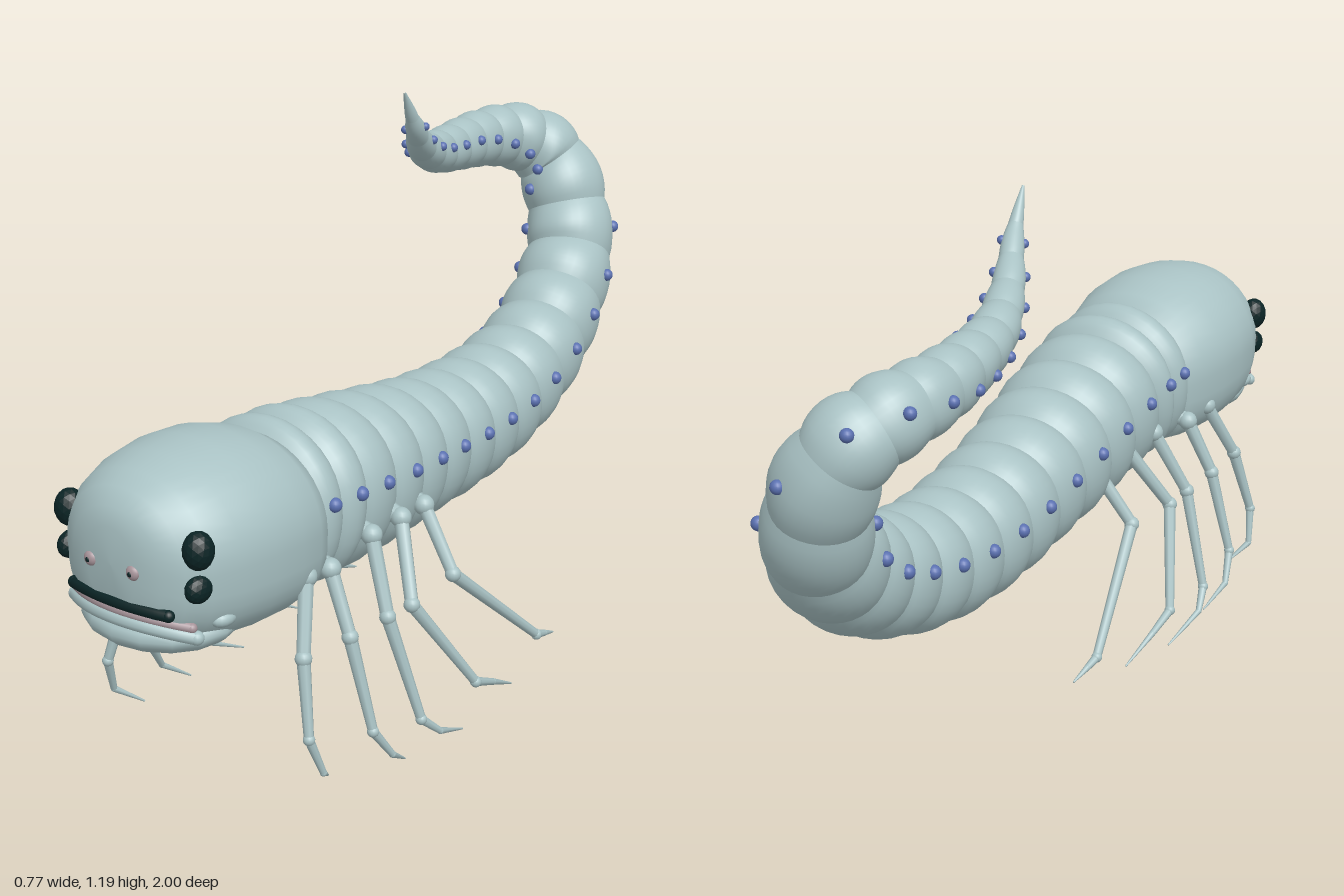
import * as THREE from 'three';

const mat = (name, color) => {
  const m = new THREE.MeshStandardMaterial({ color });
  m.name = name;
  return m;
};
const shell = mat('grey green shell', 0xa9c2c4);
const blue = mat('blue spots', 0x5a70b0);
const dark = mat('dark eyes and lip', 0x0b2425);
const pink = mat('dusty pink', 0xa8959b);

const V = (x, y, z) => new THREE.Vector3(x, y, z);
const MID = 0.055; // head symmetry line

function add(parent, name, geometry, material) {
  const mesh = new THREE.Mesh(geometry, material);
  mesh.name = name;
  parent.add(mesh);
  return mesh;
}

function ball(parent, name, material, p, sx, sy = sx, sz = sx) {
  const mesh = add(parent, name, new THREE.SphereGeometry(1, 16, 12), material);
  mesh.position.copy(p);
  mesh.scale.set(sx, sy, sz);
}

// Tapered rod between two points
function rod(parent, name, a, b, ra, rb) {
  const d = b.clone().sub(a);
  const mesh = add(parent, name, new THREE.CylinderGeometry(rb, ra, d.length(), 8), shell);
  mesh.position.copy(a).addScaledVector(d, 0.5);
  mesh.quaternion.setFromUnitVectors(V(0, 1, 0), d.normalize());
}

// Skin through closed rings, listed from front to back
function loft(rings) {
  const n = rings[0].length, pos = [], idx = [];
  rings.forEach(ring => ring.forEach(p => pos.push(p.x, p.y, p.z)));
  for (let i = 0; i < rings.length - 1; i++) {
    for (let j = 0; j < n; j++) {
      const k = (j + 1) % n, a = i * n, b = a + n;
      idx.push(a + j, b + j, a + k, b + j, b + k, a + k);
    }
  }
  const g = new THREE.BufferGeometry();
  g.setAttribute('position', new THREE.Float32BufferAttribute(pos, 3));
  g.setIndex(idx);
  g.computeVertexNormals();
  return g;
}

// Body centre line: x, y, z, radius
const PATH = [
  [0.055, 0.53, 0.595, 0.18], [0.05, 0.52, 0.48, 0.182], [0.025, 0.485, 0.25, 0.17],
  [-0.01, 0.45, 0, 0.152], [-0.035, 0.432, -0.2, 0.145], [-0.058, 0.44, -0.4, 0.136],
  [-0.078, 0.485, -0.58, 0.126], [-0.108, 0.57, -0.74, 0.118], [-0.145, 0.68, -0.85, 0.11],
  [-0.195, 0.81, -0.89, 0.102], [-0.243, 0.893, -0.88, 0.091], [-0.285, 0.938, -0.81, 0.082],
  [-0.302, 0.955, -0.71, 0.071], [-0.29, 0.966, -0.58, 0.061], [-0.257, 0.983, -0.44, 0.05],
  [-0.208, 1.028, -0.32, 0.036], [-0.162, 1.1, -0.23, 0.022], [-0.145, 1.19, -0.17, 0.003],
];

function buildBody(root) {
  const body = new THREE.Group();
  body.name = 'segmentedBody';
  root.add(body);
  const curve = new THREE.CatmullRomCurve3(PATH.map(p => V(p[0], p[1], p[2])));
  const lengths = Array.from({ length: 26 }, (_, i) => (i < 2 ? 0.08 : i < 15 ? 0.125 : 0.08));
  const total = lengths.reduce((a, b) => a + b);
  const side = V(1, 0, 0);

  // Ring frame; the side vector is carried along without twisting
  const frameAt = u => {
    const t = curve.getUtoTmapping(Math.min(u, 1));
    const f = t * (PATH.length - 1), i = Math.min(Math.floor(f), PATH.length - 2);
    const tangent = curve.getTangent(t);
    side.addScaledVector(tangent, -side.dot(tangent)).normalize();
    return {
      c: curve.getPoint(t), r: THREE.MathUtils.lerp(PATH[i][3], PATH[i + 1][3], f - i),
      s: side.clone(), up: side.clone().cross(tangent).normalize(),
    };
  };
  const point = (f, angle, k) => f.c.clone()
    .addScaledVector(f.s, Math.cos(angle) * f.r * k)
    .addScaledVector(f.up, Math.sin(angle) * f.r * k);

  const STEPS = 8, N = 36;
  let start = 0;
  lengths.forEach((len, i) => {
    const rings = [];
    for (let s = 0; s <= STEPS; s++) {
      const u = (start + len * s / STEPS) / total, f = frameAt(u);
      const dip = 1 - Math.pow(Math.sin(Math.PI * s / STEPS), 0.8);
      // The spot rows roll half way round the body through the curl
      const roll = -2.42 * THREE.MathUtils.smoothstep(u, 0.53, 0.82);
      rings.push(Array.from({ length: N }, (_, j) => {
        const a = j / N * Math.PI * 2, b = a - roll;
        const depth = 0.08 + 0.06 * Math.max(Math.sin(b), 0);
        return point(f, a, 1.02 - depth * dip - 0.04 * Math.pow(Math.abs(Math.cos(b)), 10));
      }));
      // A blue spot on each side of the ring
      if (s === STEPS / 2 && i < 25) {
        const lift = 0.23 * (1 - THREE.MathUtils.smoothstep(u, 0.4, 0.75));
        const size = Math.min(0.008 + 0.06 * f.r, 0.015);
        for (const a of [lift, Math.PI - lift]) ball(body, 'sideSpot', blue, point(f, a + roll, 0.985), size);
      }
    }
    add(body, 'bodySegment', loft(rings), shell);
    start += len;
  });
}

function buildHead(root) {
  const head = new THREE.Group();
  head.name = 'head';
  root.add(head);
  // z, half width, top, bottom
  const sections = [
    [0.99, 0, 0.56, 0.56], [0.988, 0.06, 0.635, 0.48], [0.975, 0.11, 0.67, 0.44],
    [0.95, 0.15, 0.70, 0.41], [0.91, 0.18, 0.72, 0.39], [0.85, 0.202, 0.736, 0.375],
    [0.77, 0.214, 0.743, 0.365], [0.69, 0.213, 0.736, 0.36], [0.62, 0.198, 0.714, 0.36],
    [0.58, 0.18, 0.69, 0.365], [0.565, 0.15, 0.65, 0.4],
  ];
  add(head, 'skull', loft(sections.map(([z, w, top, bottom]) => Array.from({ length: 40 }, (_, j) => {
    const a = j / 40 * Math.PI * 2, e = j <= 20 ? 0.97 : 0.72; // round dome, squarer cheeks
    const c = Math.cos(a), s = Math.sin(a);
    return V(MID + w * Math.sign(c) * Math.pow(Math.abs(c), e),
      (top + bottom) / 2 + (top - bottom) / 2 * Math.sign(s) * Math.pow(Math.abs(s), e), z);
  }))), shell);

  // Lower jaw and lips
  ball(head, 'lowerJaw', shell, V(MID, 0.418, 0.86), 0.165, 0.055, 0.138);
  const lip = (name, material, half, y, z, drop, r, curl) => {
    const pts = [-1, -0.75, -0.4, 0, 0.4, 0.75, 1].map(k => V(MID + half * k, y - drop * k * k, z - curl * (half * k) ** 2));
    add(head, name, new THREE.TubeGeometry(new THREE.CatmullRomCurve3(pts), 32, r, 8), material);
    for (const p of [pts[0], pts[6]]) ball(head, name + 'End', material, p, r);
  };
  lip('upperLip', dark, 0.12, 0.485, 0.985, 0.003, 0.012, 1.2);
  lip('mouthLining', pink, 0.147, 0.468, 0.983, 0.015, 0.01, 2.2);
  lip('lowerLip', shell, 0.155, 0.452, 0.985, 0.018, 0.014, 2.2);

  for (const m of [-1, 1]) {
    // Faceted eyes, one large and one small
    for (const [y, z, sx, sy] of [[0.61, 0.927, 0.03, 0.038], [0.535, 0.93, 0.022, 0.028]]) {
      const g = new THREE.IcosahedronGeometry(1, 2);
      g.computeVertexNormals();
      const eye = add(head, 'eye', g, dark);
      eye.position.set(MID + m * 0.162, y, z);
      eye.scale.set(sx, sy, 0.031);
    }
    ball(head, 'nostril', pink, V(MID + m * 0.053, 0.557, 0.986), 0.015, 0.015, 0.01);
    ball(head, 'nostrilHole', dark, V(MID + m * 0.053, 0.557, 0.995), 0.005, 0.005, 0.003);
    ball(head, 'mouthCorner', shell, V(MID + m * 0.165, 0.455, 0.87), 0.022, 0.018, 0.03);
  }
}

// Points of each leg: hip, knee, ankle, toe joint, tip
const LEGS = [
  [[0.24, 0.46, 0.654], [0.285, 0.325, 0.72], [0.32, 0.175, 0.75], [0.333, 0.095, 0.724], [0.3, 0.053, 0.67]],
  [[0.235, 0.444, 0.574], [0.295, 0.32, 0.59], [0.35, 0.13, 0.59], [0.365, 0.064, 0.547], [0.345, 0.016, 0.48]],
  [[0.225, 0.46, 0.43], [0.295, 0.315, 0.47], [0.36, 0.095, 0.445], [0.375, 0.053, 0.4], [0.355, 0.003, 0.295]],
  [[0.215, 0.455, 0.32], [0.295, 0.31, 0.39], [0.37, 0.107, 0.27], [0.365, 0.075, 0.2], [0.35, 0.027, 0.11]],
  [[0.195, 0.44, 0.215], [0.285, 0.315, 0.235], [0.34, 0.095, 0.0], [0.337, 0.083, -0.035], [0.33, 0.065, -0.08]],
];

function buildLegs(root) {
  const rodRadius = [0.016, 0.014, 0.01, 0.007, 0.002], jointRadius = [0.022, 0.017, 0.012, 0.007];
  for (const m of [1, -1]) {
    for (const joints of LEGS) {
      const leg = new THREE.Group();
      leg.name = m > 0 ? 'leftLeg' : 'rightLeg';
      root.add(leg);
      const pts = joints.map(([x, y, z]) => V(MID + m * (x - MID), y, z));
      const inner = pts[0].clone().add(V(-m * 0.07, 0.02, 0));
      rod(leg, 'hip', inner, pts[0], 0.024, 0.018);
      for (let i = 0; i < 4; i++) {
        ball(leg, 'joint', shell, pts[i], jointRadius[i]);
        rod(leg, 'legSection', pts[i], pts[i + 1], rodRadius[i], rodRadius[i + 1]);
      }
    }
  }
}

export function createModel() {
  const root = new THREE.Group();
  root.name = 'segmentedCreature';
  buildBody(root);
  buildHead(root);
  buildLegs(root);
  return root;
}
